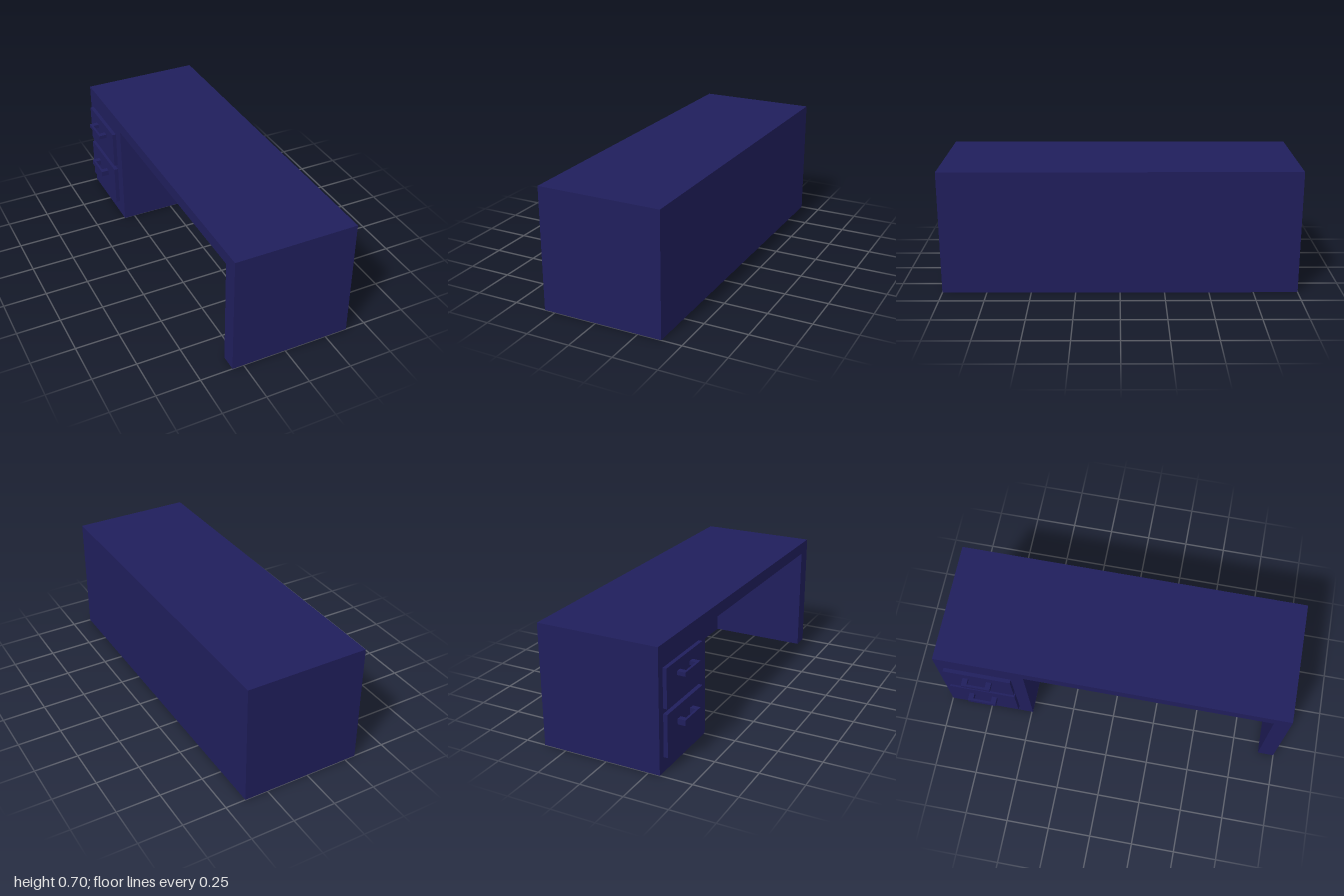
import * as THREE from 'three';

export function createModel() {
  const desk = new THREE.Group();
  desk.name = 'desk';
  const material = new THREE.MeshStandardMaterial({ color: 0x201e5c });

  // Box given by its minimum and maximum corners
  function addBox(parent, name, [x0, y0, z0], [x1, y1, z1]) {
    const geometry = new THREE.BoxGeometry(x1 - x0, y1 - y0, z1 - z0);
    const mesh = new THREE.Mesh(geometry, material);
    mesh.position.set((x0 + x1) / 2, (y0 + y1) / 2, (z0 + z1) / 2);
    mesh.name = name;
    parent.add(mesh);
  }

  const left = 0.384, right = -0.315;   // body extent in x
  const under = 0.632, top = 0.702;     // desktop slab
  const pedestalZ = -0.493, legZ = 0.907, panelX = 0.28;

  // Desk body
  addBox(desk, 'desktop', [right, under, -1], [left, top, 1]);
  addBox(desk, 'drawerPedestal', [right, 0, -1], [left, under, pedestalZ]);
  addBox(desk, 'sideLeg', [right, 0, legZ], [left, under, 1]);
  addBox(desk, 'modestyPanel', [panelX, 0, pedestalZ], [left, under, legZ]);

  // Drawer fronts, each with a U-shaped pull
  const drawers = [
    { name: 'upperDrawer', y: [0.358, 0.578], face: -0.337, pull: [0.5, 0.522] },
    { name: 'lowerDrawer', y: [0.085, 0.328], face: -0.339, pull: [0.226, 0.258] },
  ];
  for (const { name, y, face, pull } of drawers) {
    const drawer = new THREE.Group();
    drawer.name = name;
    addBox(drawer, 'drawerFront', [face, y[0], -0.957], [right, y[1], -0.57]);
    addBox(drawer, 'handleBar', [-0.384, pull[0], -0.85], [-0.371, pull[1], -0.683]);
    for (const z of [-0.85, -0.714]) {
      addBox(drawer, 'handlePost', [-0.371, pull[0], z], [face, pull[1], z + 0.031]);
    }
    desk.add(drawer);
  }
  return desk;
}
